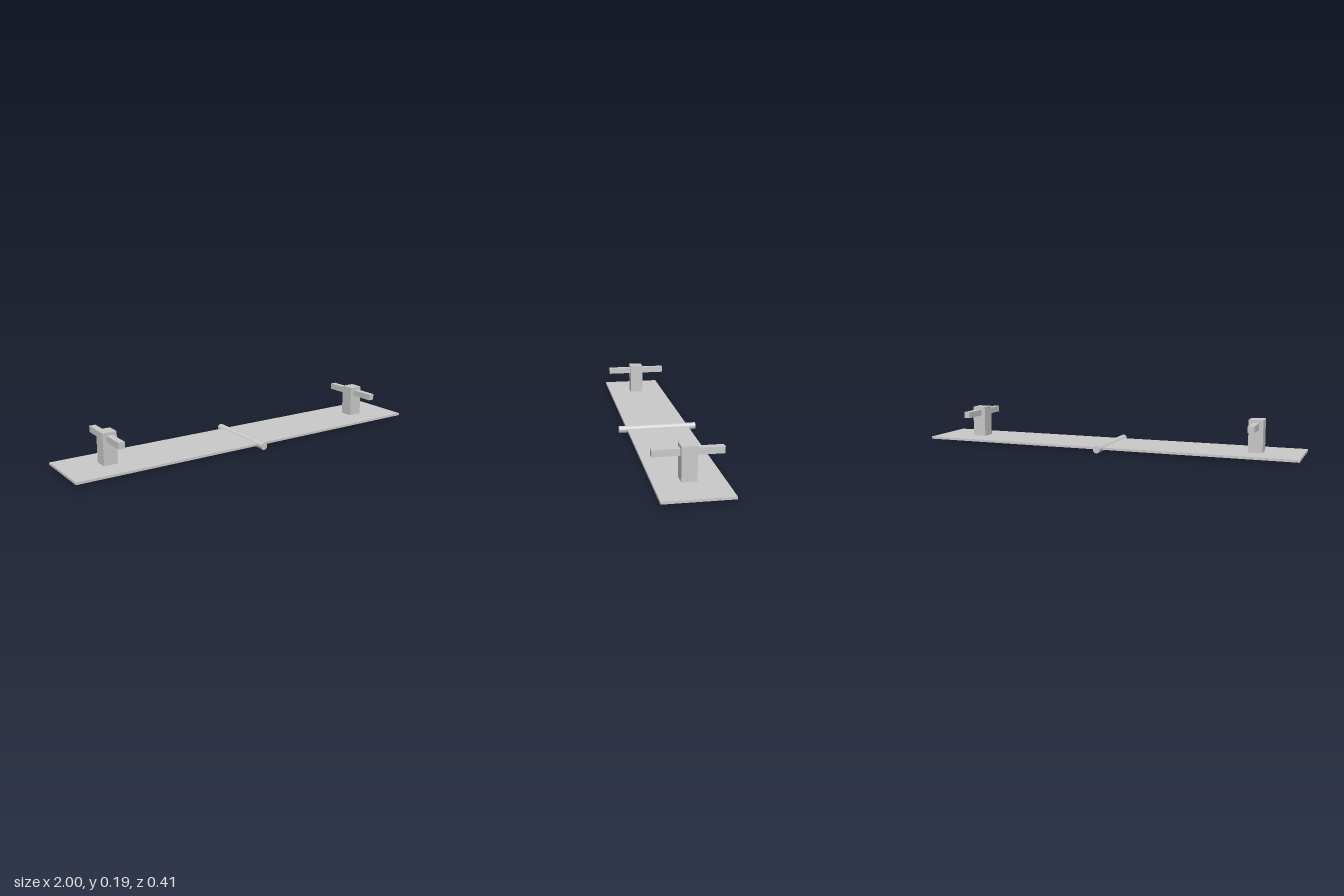
import * as THREE from 'three';

const material = new THREE.MeshStandardMaterial({ color: 0xcccccc });

function addPart(parent, name, geometry, x, y, z) {
  const mesh = new THREE.Mesh(geometry, material);
  mesh.name = name;
  mesh.position.set(x, y, z);
  parent.add(mesh);
  return mesh;
}

export function createModel() {
  const group = new THREE.Group();
  group.name = 'seesaw';

  // Long flat board
  addPart(group, 'plank', new THREE.BoxGeometry(2, 0.012, 0.324), 0, 0.0187, 0);

  // Round pivot bar running through the board
  const pivot = new THREE.CylinderGeometry(0.0187, 0.0187, 0.408, 32);
  pivot.rotateX(Math.PI / 2);
  addPart(group, 'pivotBar', pivot, 0, 0.0187, 0);

  // One post with a cross handle at each end
  for (const side of [-1, 1]) {
    const grip = new THREE.Group();
    grip.name = side > 0 ? 'leftGrip' : 'rightGrip';
    grip.position.x = side * 0.77;
    addPart(grip, 'post', new THREE.BoxGeometry(0.072, 0.164, 0.072), 0, 0.104, 0);
    addPart(grip, 'handle', new THREE.BoxGeometry(0.032, 0.032, 0.326), 0, 0.155, 0);
    group.add(grip);
  }
  return group;
}
